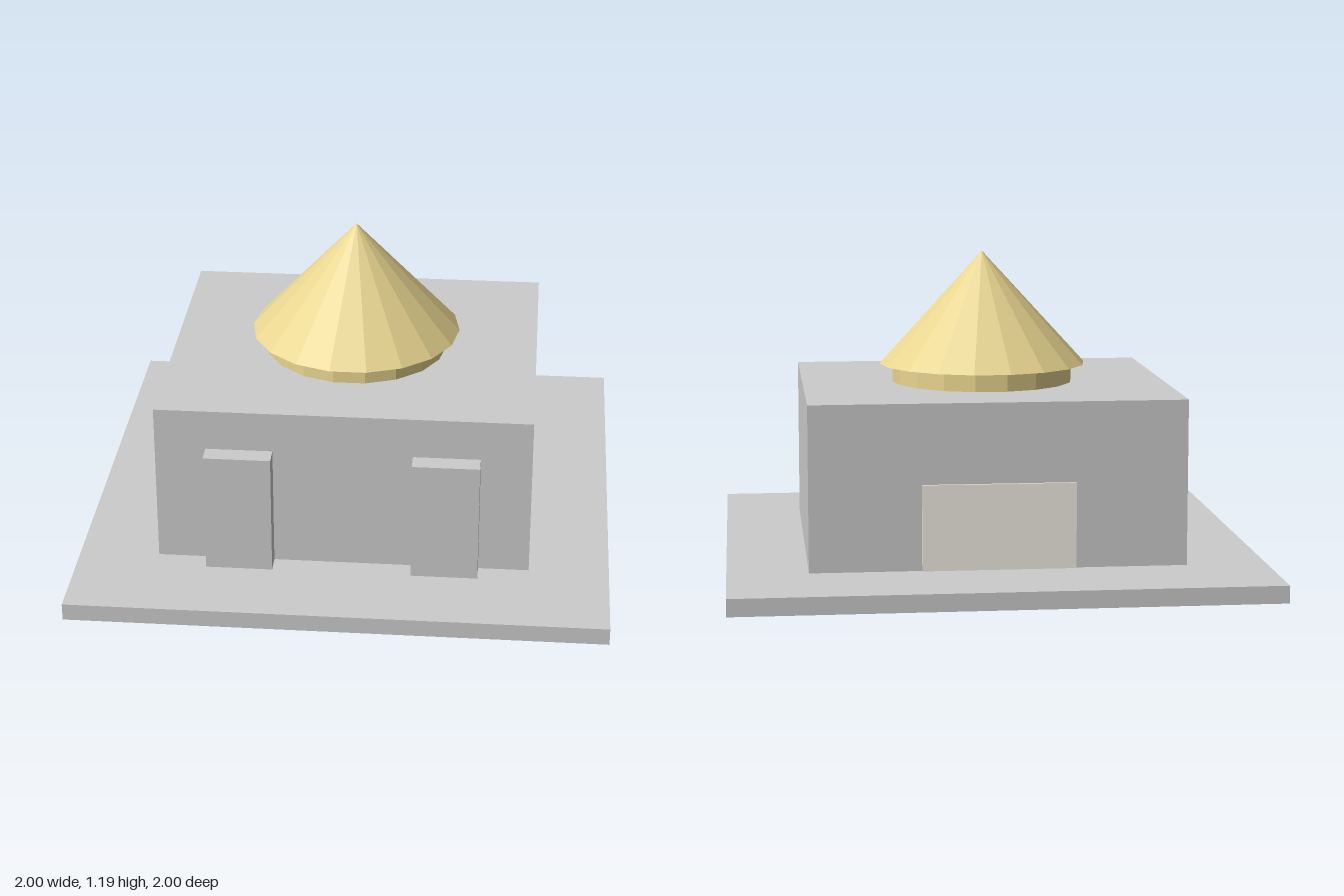
import * as THREE from 'three';

export function createModel() {
  const model = new THREE.Group();
  const grey = new THREE.MeshStandardMaterial({ color: 0xcccccc });
  const thatch = new THREE.MeshStandardMaterial({ color: 0xe8d590, flatShading: true });
  const pale = new THREE.MeshStandardMaterial({ color: 0xf0ece2 });

  const add = (name, geometry, material, x, y, z) => {
    const mesh = new THREE.Mesh(geometry, material);
    mesh.name = name;
    mesh.position.set(x, y, z);
    model.add(mesh);
    return mesh;
  };

  // A box given by its centre in x and z, its bottom and its size
  const box = (name, material, x, bottom, z, w, h, d) =>
    add(name, new THREE.BoxGeometry(w, h, d), material, x, bottom + h / 2, z);

  const floor = 0.065;
  const roofTop = 0.685;

  // Ground slab and main block
  box('baseSlab', grey, 0, 0, 0, 2, floor, 2);
  box('building', grey, 0, floor, 0, 1.4, roofTop - floor, 1.24);

  // Pair of pillars against the front wall
  for (const side of [-1, 1]) {
    box(side > 0 ? 'leftPillar' : 'rightPillar', grey, side * 0.385, floor, 0.655, 0.25, 0.465, 0.08);
  }

  // Thin panel on the back wall
  box('backPanel', pale, 0, floor, -0.62, 0.57, 0.32, 0.02);

  // Round drum and conical roof, with corners on the x axis
  const sides = 18;
  const eaves = 0.755;
  const apex = 1.19;
  const drum = add('drum', new THREE.CylinderGeometry(0.35, 0.35, eaves - roofTop, sides), thatch,
    0, (roofTop + eaves) / 2, 0);
  const roof = add('coneRoof', new THREE.ConeGeometry(0.4, apex - eaves, sides), thatch,
    0, (eaves + apex) / 2, 0);
  drum.rotation.y = roof.rotation.y = Math.PI / 2;

  return model;
}
